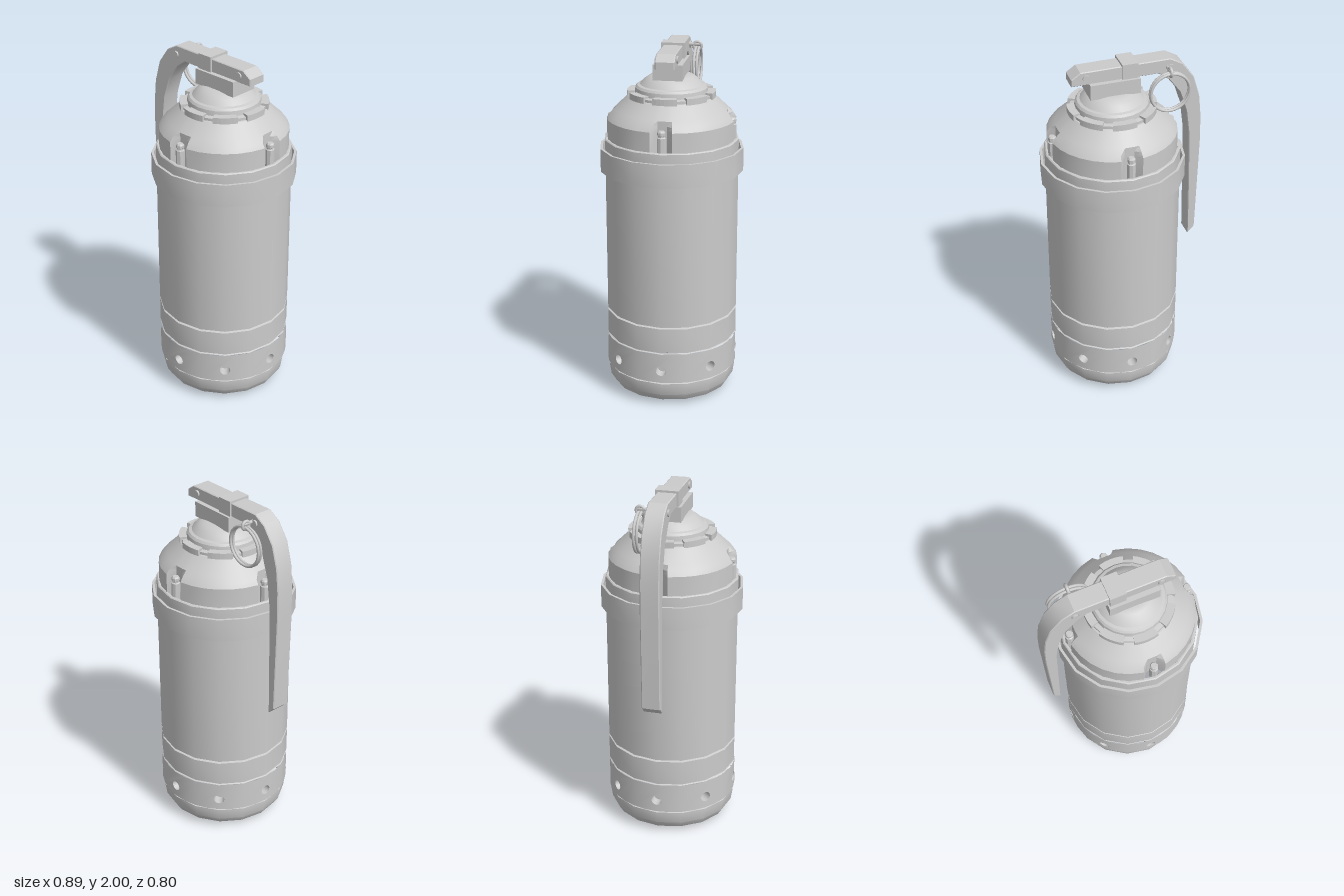
import * as THREE from 'three';
import { toCreasedNormals } from 'three/addons/utils/BufferGeometryUtils.js';

const AXIS = 0.045; // the canister sits slightly off centre to make room for the lever
const R = 0.373;
const material = new THREE.MeshStandardMaterial({ color: 0xcccccc });
const doubleSided = new THREE.MeshStandardMaterial({ color: 0xcccccc, side: THREE.DoubleSide });

function add(parent, name, geometry, x = 0, y = 0, z = 0, mat = material) {
  const mesh = new THREE.Mesh(geometry, mat);
  mesh.name = name;
  mesh.position.set(x, y, z);
  parent.add(mesh);
  return mesh;
}

// Turned part with crisp edges between bands
function turned(profile, sides = 16) {
  const points = profile.map(([r, y]) => new THREE.Vector2(r, y));
  return toCreasedNormals(new THREE.LatheGeometry(points, sides), 0.5);
}

// One eighth of the vent band: a flat panel with a round hole, bent around the axis
function ventPanel(y0, y1, holeY, holeR) {
  const w = R * Math.PI / 8;
  const shape = new THREE.Shape([
    [-w, y0], [-w / 2, y0], [0, y0], [w / 2, y0], [w, y0],
    [w, y1], [w / 2, y1], [0, y1], [-w / 2, y1], [-w, y1],
  ].map(([x, y]) => new THREE.Vector2(x, y)));
  const hole = new THREE.Path();
  hole.absarc(0, holeY, holeR, 0, Math.PI * 2, true);
  shape.holes.push(hole);
  const geometry = new THREE.ShapeGeometry(shape, 8);
  const pos = geometry.attributes.position, normal = geometry.attributes.normal;
  for (let i = 0; i < pos.count; i++) {
    const a = pos.getX(i) / R, s = Math.sin(a), c = Math.cos(a);
    pos.setXYZ(i, R * s, pos.getY(i), R * c);
    normal.setXYZ(i, s, 0, c);
  }
  return geometry;
}

// Shoulder dome with four bolt pockets cut into its rim
function shoulderGeometry() {
  const levels = [[0.355, 1.46], [0.355, 1.6], [0.338, 1.625], [0.309, 1.652], [0.275, 1.685], [0.235, 1.722], [0.19, 1.73]];
  const stops = [[-9.7, 0.355], [-4.8, 0.309], [4.8, 0.309], [9.7, 0.355], [22.5, 1], [33.75, 1], [45, 1], [56.25, 1], [67.5, 1]];
  const positions = [], index = [];
  const n = stops.length * 4;
  for (const [r, y] of levels) {
    for (let q = 0; q < 4; q++) {
      for (const [deg, limit] of stops) {
        const a = THREE.MathUtils.degToRad(deg + q * 90), rr = Math.min(r, limit);
        positions.push(rr * Math.sin(a), y, rr * Math.cos(a));
      }
    }
  }
  for (let j = 0; j < levels.length - 1; j++) {
    for (let i = 0; i < n; i++) {
      const a = j * n + i, b = j * n + (i + 1) % n;
      index.push(a, b, b + n, a, b + n, a + n);
    }
  }
  const geometry = new THREE.BufferGeometry();
  geometry.setAttribute('position', new THREE.Float32BufferAttribute(positions, 3));
  geometry.setIndex(index);
  return toCreasedNormals(geometry, 0.5);
}

// Arc-shaped lug lying flat, centred on +x
function lugGeometry(r0, r1, half, height) {
  const shape = new THREE.Shape();
  shape.absarc(0, 0, r1, -half, half, false);
  shape.absarc(0, 0, r0, half, -half, true);
  const geometry = new THREE.ExtrudeGeometry(shape, { depth: height, bevelEnabled: false, curveSegments: 3 });
  return geometry.rotateX(-Math.PI / 2);
}

function createBody() {
  const body = new THREE.Group();
  body.name = 'body';
  body.position.x = AXIS;

  add(body, 'base', turned([
    [0, 0.012], [0.175, 0.012], [0.18, 0.004], [0.225, 0.004], [0.235, 0.018], [0.295, 0.018],
    [0.335, 0.035], [0.36, 0.075], [0.37, 0.14], [0.37, 0.147], [0.36, 0.15], [0.36, 0.155], [R, 0.158],
  ]));
  add(body, 'casing', turned([
    [R, 0.332], [0.365, 0.336], [0.365, 0.34], [R, 0.344], [R, 0.485], [0.36, 0.489], [0.36, 0.496],
    [R, 0.5], [R, 1.45], [R, 1.487], [0.367, 1.492], [0.357, 1.492], [0.35, 1.47],
  ]));

  // Vent band with eight blind holes
  const panel = ventPanel(0.158, 0.332, 0.23, 0.03);
  for (let i = 0; i < 8; i++) {
    const vent = new THREE.Group();
    vent.name = 'vent';
    vent.rotation.y = i * Math.PI / 4;
    add(vent, 'ventPanel', panel);
    const wall = new THREE.CylinderGeometry(0.03, 0.03, 0.06, 16, 1, true).rotateX(Math.PI / 2);
    add(vent, 'ventWall', wall, 0, 0.23, R - 0.031, doubleSided);
    add(vent, 'ventFloor', new THREE.CircleGeometry(0.03, 16), 0, 0.23, R - 0.06);
    body.add(vent);
  }

  // Loose band around the top of the casing
  add(body, 'clampBand', turned([
    [0.386, 1.31], [0.4, 1.31], [0.4, 1.44], [0.386, 1.44], [0.386, 1.31],
  ]));

  add(body, 'shoulder', shoulderGeometry());
  for (let i = 0; i < 4; i++) {
    const a = i * Math.PI / 2;
    add(body, 'shoulderBolt', turned([
      [0.024, 1.47], [0.024, 1.57], [0.018, 1.574], [0.018, 1.582], [0.022, 1.585],
      [0.022, 1.6], [0.016, 1.608], [0, 1.608],
    ], 8), 0.335 * Math.sin(a), 0, 0.335 * Math.cos(a));
  }

  // Neck collar with lugs, and the cap
  add(body, 'neck', turned([
    [0.228, 1.715], [0.228, 1.738], [0.202, 1.742], [0.198, 1.77], [0.188, 1.782],
    [0.172, 1.786], [0.15, 1.81], [0.12, 1.832], [0.09, 1.838], [0, 1.838],
  ], 24));
  const lug = lugGeometry(0.19, 0.242, 0.28, 0.034);
  for (let i = 0; i < 8; i++) add(body, 'collarLug', lug, 0, 1.718, 0).rotation.y = i * Math.PI / 4;
  return body;
}

function createLever() {
  const lever = new THREE.Group();
  lever.name = 'leverAssembly';

  // Side outline of the lever, extruded across its width
  const outline = [
    [0.28, 1.91], [0.28, 1.95], [0.23, 1.985], [-0.265, 1.99], [-0.335, 1.95], [-0.4, 1.86], [-0.435, 1.74],
    [-0.448, 1.61], [-0.45, 1.45], [-0.435, 0.875], [-0.395, 0.835], [-0.39, 1.13], [-0.383, 1.5],
    [-0.362, 1.66], [-0.322, 1.78], [-0.255, 1.87], [-0.2, 1.912],
  ];
  const shape = new THREE.Shape(outline.map(([x, y]) => new THREE.Vector2(x, y)));
  const strip = new THREE.ExtrudeGeometry(shape, {
    depth: 0.096, bevelThickness: 0.005, bevelSize: 0.004, bevelOffset: -0.004, bevelSegments: 1,
  }).translate(0, 0, -0.048);
  add(lever, 'lever', toCreasedNormals(strip, 0.45));

  add(lever, 'leverMount', new THREE.BoxGeometry(0.275, 0.085, 0.16), 0.0475, 1.873, 0);
  add(lever, 'clasp', new THREE.BoxGeometry(0.088, 0.085, 0.13), -0.038, 1.9575, 0);

  // Cross pins showing on both sides
  const pin = new THREE.CylinderGeometry(0.02, 0.02, 0.124, 8).rotateX(Math.PI / 2);
  for (const [x, y] of [[-0.265, 1.94], [0.2, 1.95]]) add(lever, 'crossPin', pin, x, y, 0);
  return lever;
}

function createPullRing() {
  const pull = new THREE.Group();
  pull.name = 'pullRing';
  for (const z of [-0.092, -0.109]) {
    add(pull, 'ringLoop', new THREE.TorusGeometry(0.109, 0.008, 8, 32), -0.247, 1.82, z);
  }
  // Safety pin with an eye that holds the loops
  const shaft = new THREE.CylinderGeometry(0.01, 0.01, 0.08, 8).rotateX(Math.PI / 2);
  add(pull, 'safetyPin', shaft, -0.247, 1.945, -0.075);
  const eye = new THREE.TorusGeometry(0.022, 0.009, 8, 16).rotateY(Math.PI / 2);
  add(pull, 'pinEye', eye, -0.247, 1.937, -0.1);
  return pull;
}

export function createModel() {
  const model = new THREE.Group();
  model.name = 'canister';
  model.add(createBody(), createLever(), createPullRing());
  return model;
}
